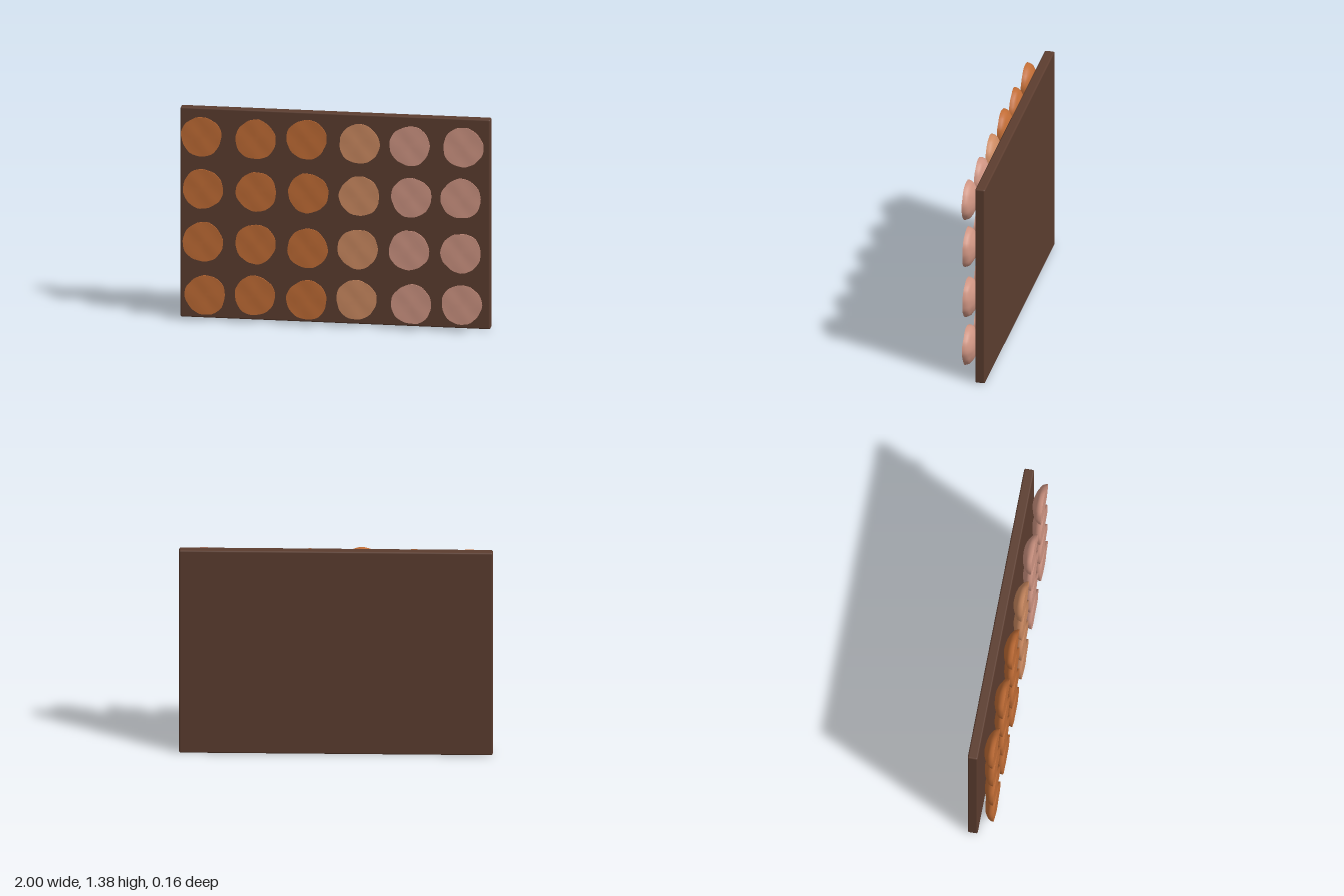
import * as THREE from 'three';
import { mergeVertices } from 'three/addons/utils/BufferGeometryUtils.js';
import { RoundedBoxGeometry } from 'three/addons/geometries/RoundedBoxGeometry.js';

const mat = (name, color) => {
  const m = new THREE.MeshStandardMaterial({ color });
  m.name = name;
  return m;
};

// columns of pads: material index, then x and y centres per row (top to bottom)
const COLUMN_MATERIAL = [0, 0, 0, 1, 2, 2];
const X = [
  [-0.85, -0.5, -0.17, 0.17, 0.495, 0.84],
  [-0.84, -0.495, -0.16, 0.17, 0.505, 0.825],
  [-0.84, -0.5, -0.165, 0.16, 0.49, 0.825],
  [-0.825, -0.505, -0.17, 0.15, 0.505, 0.83],
];
const Y = [
  [1.22, 1.215, 1.23, 1.215, 1.215, 1.22],
  [0.875, 0.87, 0.875, 0.87, 0.875, 0.88],
  [0.525, 0.525, 0.51, 0.52, 0.525, 0.52],
  [0.175, 0.185, 0.17, 0.185, 0.17, 0.18],
];
const RADIUS = 0.13;
const DEPTH = 0.075;

// revolve a profile about z, then make it slightly lumpy
function lumpyLathe(points, seed) {
  let g = new THREE.LatheGeometry(points.map(([r, z]) => new THREE.Vector2(r, z)), 40);
  g.rotateX(Math.PI / 2);
  g.deleteAttribute('uv');
  g.deleteAttribute('normal');
  g = mergeVertices(g, 1e-5);
  const p = g.attributes.position;
  for (let i = 0; i < p.count; i++) {
    const x = p.getX(i), y = p.getY(i), z = p.getZ(i);
    const a = Math.atan2(y, x);
    const k = 1 + 0.018 * Math.sin(3 * a + seed) + 0.012 * Math.sin(5 * a + seed * 2.3)
      + 0.008 * Math.sin(11 * a + seed * 1.7);
    const dent = 0.0015 * (1 + Math.sin(38 * x + seed) * Math.cos(33 * y + seed * 1.9));
    p.setXYZ(i, x * k, y * k, z > 0.04 ? z - dent : z + dent);
  }
  g.computeVertexNormals();
  return g;
}

// domed back, from the apex out to the rim
const domeProfile = [];
for (let i = 0; i <= 10; i++) {
  const t = (i / 10) * Math.PI / 2;
  domeProfile.push([RADIUS * Math.sin(t), 0.08 - DEPTH * Math.cos(t)]);
}
// flat front, from the rim in to the centre
const faceProfile = [1, 0.94, 0.8, 0.6, 0.4, 0.2, 0].map((r) => [RADIUS * r, 0.08]);

export function createModel() {
  const group = new THREE.Group();
  group.name = 'padBoard';
  const brown = mat('dark brown', 0x5c3d2f);
  const padMaterials = [mat('orange', 0xc06c35), mat('tan', 0xcc8a61), mat('pink', 0xce9482)];

  // backing board
  const board = new THREE.Mesh(new RoundedBoxGeometry(2, 1.385, 0.065, 2, 0.01), brown);
  board.name = 'board';
  board.position.set(0, 0.6925, -0.0475);
  group.add(board);

  // rows of rounded pads
  X.forEach((row, r) => row.forEach((x, c) => {
    const pad = new THREE.Group();
    pad.name = `pad_${r + 1}_${c + 1}`;
    pad.position.set(x, Y[r][c], 0);
    const seed = 1.7 * r + 2.9 * c;
    const material = padMaterials[COLUMN_MATERIAL[c]];
    for (const [name, profile] of [['padDome', domeProfile], ['padFace', faceProfile]]) {
      const mesh = new THREE.Mesh(lumpyLathe(profile, seed), material);
      mesh.name = name;
      pad.add(mesh);
    }
    group.add(pad);
  }));
  return group;
}
